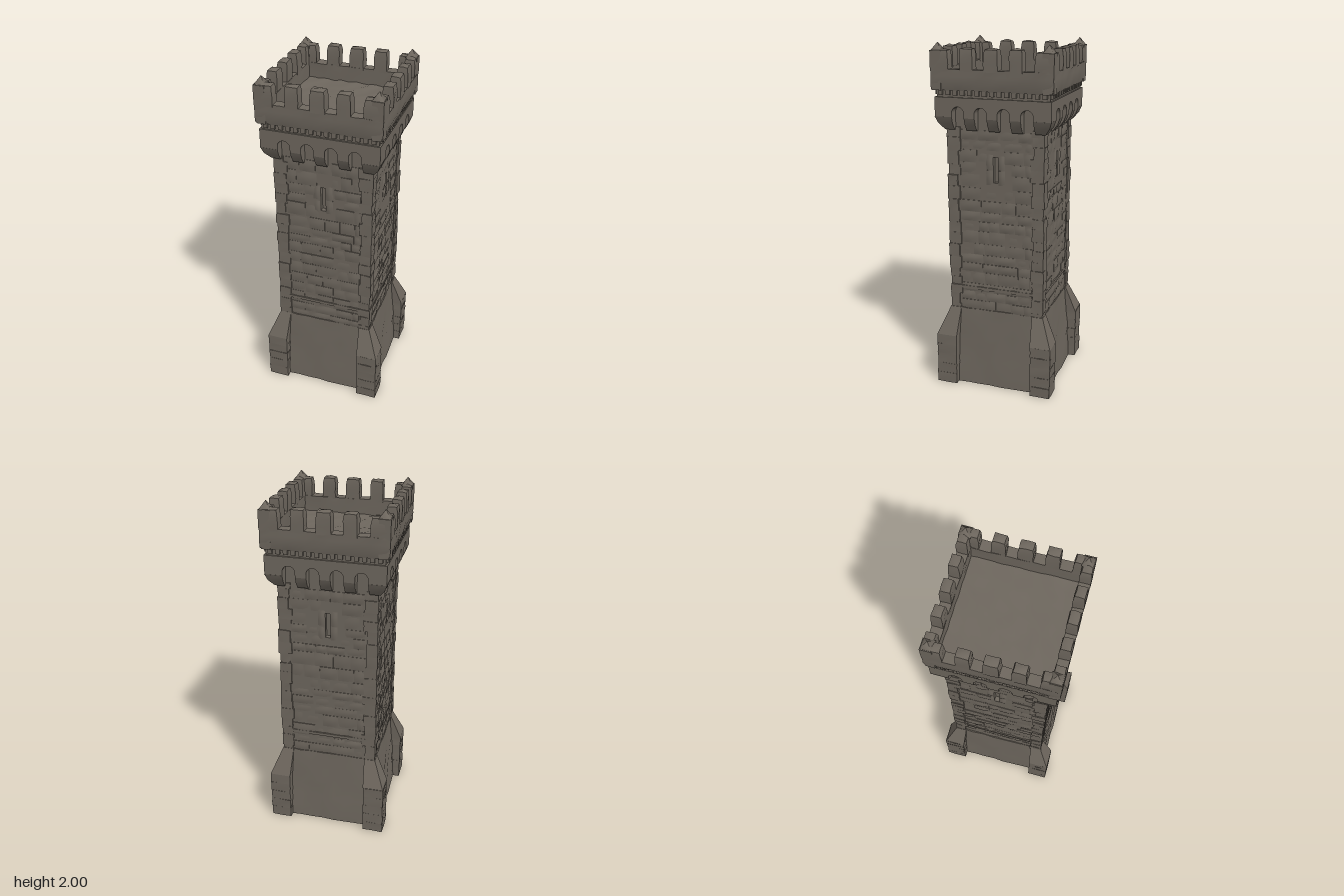
import * as THREE from 'three';
import { mergeGeometries } from 'three/addons/utils/BufferGeometryUtils.js';

const stone = new THREE.MeshStandardMaterial({ color: 0x6e675e });
stone.name = 'weathered stone';

// Seeded random numbers for stone sizes
let seed = 7;
const rand = (a = 0, b = 1) => {
  seed = (seed * 16807) % 2147483647;
  return a + (b - a) * (seed / 2147483647);
};
// Repeatable noise from a position, so shared corners move together
const hash = (x, y, z, k) => {
  const s = Math.sin(Math.round(x * 1e3) * 12.99 + Math.round(y * 1e3) * 78.23 + Math.round(z * 1e3) * 37.72 + k * 4.1) * 43758.5453;
  return (s - Math.floor(s)) * 2 - 1;
};

// Moves every vertex by a rule, then recomputes normals
function reshape(geo, rule) {
  const p = geo.attributes.position, v = new THREE.Vector3();
  for (let i = 0; i < p.count; i++) {
    v.fromBufferAttribute(p, i);
    rule(v);
    p.setXYZ(i, v.x, v.y, v.z);
  }
  geo.computeVertexNormals();
  return geo;
}
const rough = (geo, amp) => reshape(geo, v => {
  const { x, y, z } = v;
  v.x += hash(x, y, z, 1) * amp;
  v.z += hash(x, y, z, 2) * amp;
  v.y = Math.max(0, y > 0.001 ? y + hash(x, y, z, 3) * amp : y);
});

// Box given by its limits, with optional segments
function block(x0, x1, y0, y1, z0, z1, sx = 1, sy = 1, sz = 1) {
  return new THREE.BoxGeometry(x1 - x0, y1 - y0, z1 - z0, sx, sy, sz)
    .translate((x0 + x1) / 2, (y0 + y1) / 2, (z0 + z1) / 2);
}

// Pillow-fronted stone facing +z
function facingStone(x0, x1, y0, y1, z0, z1) {
  const bevel = (z1 - z0) * 0.45, tilt = rand(-0.003, 0.003);
  return reshape(block(x0, x1, y0, y1, z0, z1, 3, 3, 1), v => {
    if (v.z < z1 - 1e-5) return;
    const rim = v.x < x0 + 1e-4 || v.x > x1 - 1e-4 || v.y < y0 + 1e-4 || v.y > y1 - 1e-4;
    v.z += (rim ? -bevel : 0) + tilt * (v.y - y0) / (y1 - y0);
  });
}

function rect(shape, x0, x1, y0, y1) {
  shape.moveTo(x0, y0).lineTo(x1, y0).lineTo(x1, y1).lineTo(x0, y1).closePath();
  return shape;
}

// Wall sheet pierced by the arrow slit
function wallPanel() {
  const s = rect(new THREE.Shape(), -0.25, 0.25, 0, 1.7);
  s.holes.push(rect(new THREE.Path(), -0.014, 0.014, 1.24, 1.385));
  return new THREE.ExtrudeGeometry(s, { depth: 0.043, bevelEnabled: false }).translate(0, 0, 0.23);
}

// Coursed stones over the wall, leaving the slit clear
function wallStones() {
  const list = [];
  for (let y = 0.46; y < 1.5;) {
    const h = Math.min(rand(0.05, 0.085), 1.55 - y);
    for (let x = -0.215; x < 0.2;) {
      const w = Math.min(rand(0.06, 0.14), 0.215 - x);
      const atSlit = x < 0.024 && x + w > -0.024 && y < 1.4 && y + h > 1.225;
      if (!atSlit) list.push(facingStone(x + 0.001, x + w - 0.001, y + 0.001, y + h - 0.001, 0.268, rand(0.274, 0.282)));
      x += w;
    }
    y += h;
  }
  for (const s of [-1, 1]) { // slit jambs
    list.push(facingStone(s * 0.035 - 0.02, s * 0.035 + 0.02, 1.225, 1.31, 0.265, 0.279));
    list.push(facingStone(s * 0.035 - 0.02, s * 0.035 + 0.02, 1.31, 1.4, 0.265, 0.281));
  }
  list.push(block(-0.22, 0.22, 0.594, 0.612, 0.265, 0.282)); // string course
  return mergeGeometries(list);
}

// Leaning wall between the buttresses
function baseWall() {
  return rough(reshape(block(-0.24, 0.24, 0, 0.47, 0.2, 0.31, 7, 6, 1), v => {
    if (v.z > 0.3) v.z -= 0.032 * v.y / 0.47;
  }), 0.004);
}

// Arched panel carried on corbels
const bays = [-0.1965, -0.0655, 0.0655, 0.1965];
function arcade() {
  const s = new THREE.Shape().moveTo(-0.33, 1.6), r = 0.035;
  for (const c of bays) {
    s.lineTo(c - r, 1.6).lineTo(c - r, 1.625);
    s.absarc(c, 1.625, r, Math.PI, 0, true);
    s.lineTo(c + r, 1.6);
  }
  s.lineTo(0.33, 1.6).lineTo(0.33, 1.71).lineTo(-0.33, 1.71).closePath();
  return new THREE.ExtrudeGeometry(s, { depth: 0.07, bevelEnabled: false, curveSegments: 10 }).translate(0, 0, 0.26);
}
function corbels() {
  return mergeGeometries([-0.131, 0, 0.131].map(c =>
    reshape(block(c - 0.0305, c + 0.0305, 1.528, 1.602, 0.25, 0.33, 1, 2, 1), v => {
      if (v.z > 0.3) v.z -= v.y < 1.54 ? 0.04 : v.y < 1.59 ? 0.013 : 0;
    })));
}

function dentils() {
  const list = [];
  for (let i = -7; i <= 7; i++) {
    list.push(block(i * 0.042 - 0.012, i * 0.042 + 0.012, 1.722, 1.755, 0.3, 0.333));
  }
  return mergeGeometries(list);
}

function parapet() {
  return rough(reshape(block(-0.344, 0.344, 1.748, 1.86, 0.285, 0.344, 14, 3, 1), v => {
    if (v.y < 1.75 && v.z > 0.3) v.z -= 0.008;
  }), 0.002);
}

// Merlon with a slightly narrowed top
function merlon(x0, x1, top) {
  const c = (x0 + x1) / 2;
  return rough(reshape(block(x0, x1, 1.85, top, 0.285, 0.345, 2, 3, 2), v => {
    if (v.y < top - 1e-4) return;
    const edge = Math.abs(v.x - c) > 0.01 || Math.abs(v.z - 0.315) > 0.01;
    v.x = c + (v.x - c) * 0.88;
    v.z = 0.315 + (v.z - 0.315) * 0.85;
    if (edge) v.y -= 0.01;
  }), 0.002);
}
function merlons() {
  return mergeGeometries([[-0.175, -0.102], [-0.04, 0.04], [0.102, 0.175]].map(([a, b]) => merlon(a, b, 1.978)));
}

// Corner stones of the shaft, in courses
function quoins() {
  const list = [];
  for (let y = 0.44; y < 1.53;) {
    const h = Math.min(rand(0.05, 0.08), 1.545 - y), o = rand(0.277, 0.284), i = rand(0.2, 0.225);
    list.push(rough(block(i, o, y, y + h, i, o, 2, 2, 2), 0.002));
    y += h;
  }
  return mergeGeometries(list);
}

// Corner buttress: coursed block with a sloped cap
function buttress() {
  const list = [];
  for (let i = 0; i < 5; i++) {
    const o = 0.348 + rand(-0.003, 0.001);
    list.push(rough(block(0.227, o, i * 0.062, i * 0.062 + 0.062, 0.227, o, 2, 2, 2), 0.002));
  }
  list.push(reshape(block(0.225, 0.347, 0.308, 0.47, 0.225, 0.347, 1, 3, 1), v => {
    const t = (v.y - 0.308) / 0.162;
    for (const k of ['x', 'z']) v[k] -= v[k] > 0.3 ? 0.065 * t : 0.008 * t;
  }));
  return mergeGeometries(list);
}

function cornerCorbel() {
  return reshape(block(0.232, 0.331, 1.528, 1.603, 0.232, 0.331, 1, 2, 1), v => {
    const inset = v.y < 1.54 ? 0.042 : v.y < 1.59 ? 0.014 : 0;
    for (const k of ['x', 'z']) if (v[k] > 0.3) v[k] -= inset;
  });
}

// Two-armed corner merlon with a small pyramid peak
function cornerMerlon() {
  const arm = merlon(0.241, 0.344, 1.968);
  const other = merlon(-0.344, -0.241, 1.968).rotateY(Math.PI / 2);
  const peak = new THREE.ConeGeometry(0.044, 0.045, 4, 1).rotateY(Math.PI / 4).translate(0.311, 1.9775, 0.311);
  const post = block(0.283, 0.345, 1.85, 1.957, 0.283, 0.345);
  return mergeGeometries([arm, other, post, peak]);
}

export function createModel() {
  const tower = new THREE.Group();
  tower.name = 'tower';
  const add = (parent, name, geo) => {
    const m = new THREE.Mesh(geo, stone);
    m.name = name;
    parent.add(m);
  };

  // Solid middle, head and roof floor
  add(tower, 'shaftCore', block(-0.245, 0.245, 0, 1.7, -0.245, 0.245));
  add(tower, 'headBand', block(-0.32, 0.32, 1.69, 1.755, -0.32, 0.32));
  add(tower, 'roofFloor', rough(block(-0.3, 0.3, 1.74, 1.772, -0.3, 0.3, 14, 1, 14), 0.005));

  // Four matching sides, each with one corner
  const sideParts = { wallPanel, wallStones, baseWall, arcade, corbels, dentils, parapet, merlons };
  const cornerParts = { quoins, buttress, cornerCorbel, cornerMerlon };
  for (let i = 0; i < 4; i++) {
    const side = new THREE.Group();
    side.name = ['frontSide', 'leftSide', 'backSide', 'rightSide'][i];
    side.rotation.y = i * Math.PI / 2;
    for (const [name, make] of Object.entries({ ...sideParts, ...cornerParts })) add(side, name, make());
    tower.add(side);
  }
  return tower;
}
